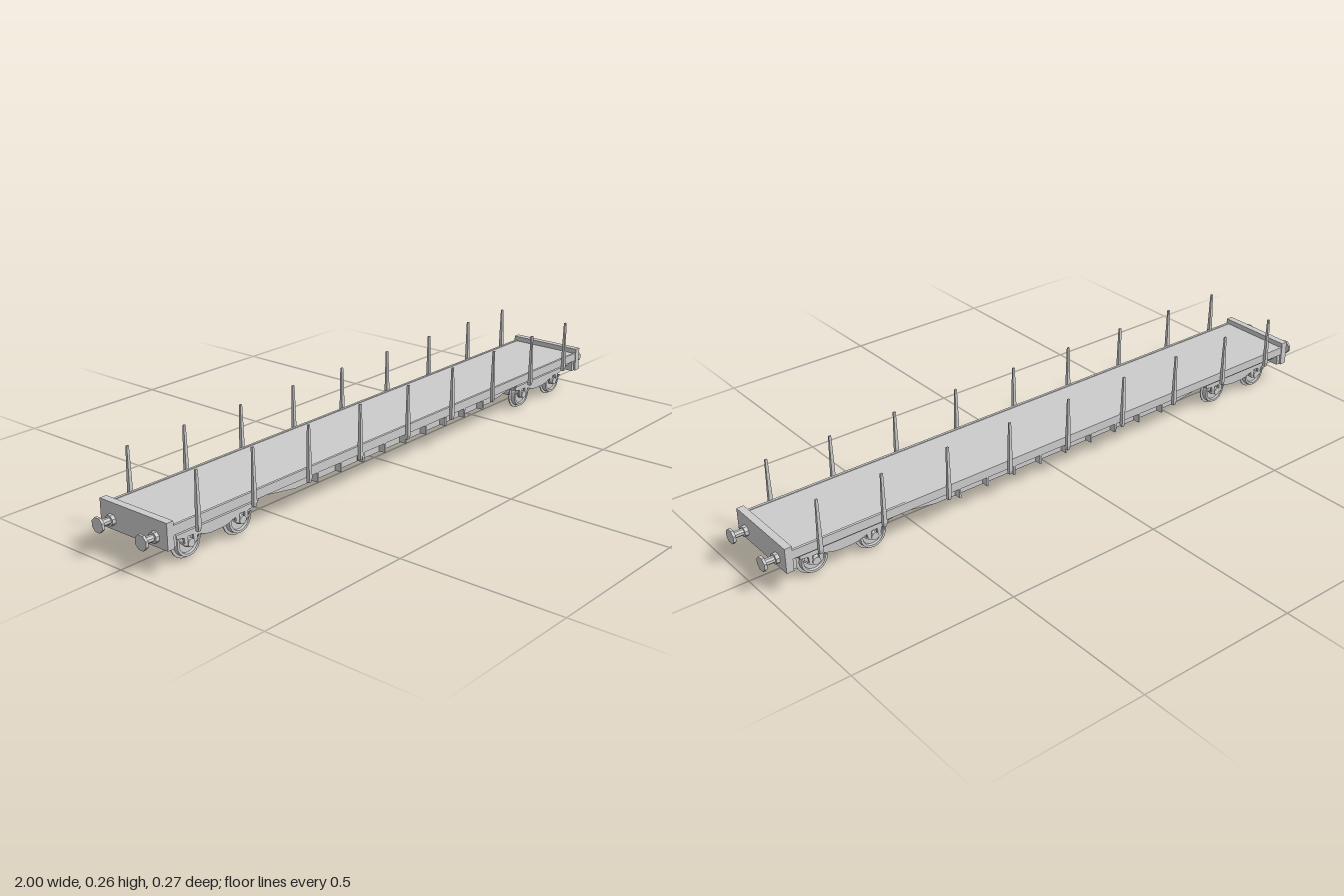
import * as THREE from 'three';

const mat = new THREE.MeshStandardMaterial({ color: 0xcccccc, flatShading: true });
const smooth = new THREE.MeshStandardMaterial({ color: 0xcccccc, side: THREE.DoubleSide });

function add(parent, name, geo, x = 0, y = 0, z = 0, m = mat) {
  const mesh = new THREE.Mesh(geo, m);
  mesh.name = name;
  mesh.position.set(x, y, z);
  parent.add(mesh);
  return mesh;
}

// Box given by its limits
function box(parent, name, x0, x1, y0, y1, z0, z1) {
  return add(parent, name, new THREE.BoxGeometry(x1 - x0, y1 - y0, z1 - z0),
    (x0 + x1) / 2, (y0 + y1) / 2, (z0 + z1) / 2);
}

// Side profile in x/y, extruded between z0 and z1
function plate(parent, name, pts, z0, z1) {
  const shape = new THREE.Shape(pts.map(p => new THREE.Vector2(p[0], p[1])));
  const geo = new THREE.ExtrudeGeometry(shape, { depth: z1 - z0, bevelEnabled: false });
  return add(parent, name, geo, 0, 0, z0);
}

// Tapered stake on the side of the deck
function stake(parent, x, s) {
  const sections = [[0.092, 0.0045, 0.131], [0.105, 0.006, 0.134], [0.26, 0.0035, 0.131]];
  const pos = [], idx = [];
  sections.forEach(([y, w, out], i) => {
    const inner = i === 2 ? 0.1255 : 0.122;
    pos.push(-w, y, inner, -w, y, out, w, y, out, w, y, inner);
    if (i < 2) {
      for (let k = 0; k < 4; k++) {
        const a = i * 4 + k, b = i * 4 + (k + 1) % 4;
        idx.push(a, b, b + 4, a, b + 4, a + 4);
      }
    }
  });
  idx.push(0, 2, 1, 0, 3, 2, 8, 9, 10, 8, 10, 11);
  const geo = new THREE.BufferGeometry();
  geo.setAttribute('position', new THREE.Float32BufferAttribute(pos, 3));
  geo.setIndex(idx);
  geo.computeVertexNormals();
  const m = add(parent, 'stake', geo, x);
  if (s < 0) m.rotation.y = Math.PI;
}

// Two flanged wheels on an axle, along z
function wheelset(parent, x) {
  const g = new THREE.Group();
  g.name = 'wheelset';
  g.position.set(x, 0.05, 0);
  parent.add(g);
  add(g, 'axle', new THREE.CylinderGeometry(0.015, 0.015, 0.15, 14), 0, 0, 0, smooth).rotation.x = Math.PI / 2;
  const profile = [[0.001, 0.068], [0.049, 0.068], [0.049, 0.0715], [0.041, 0.073],
    [0.04, 0.087], [0.033, 0.087], [0.031, 0.08], [0.014, 0.08], [0.012, 0.088], [0.001, 0.088]];
  const geo = new THREE.LatheGeometry(profile.map(p => new THREE.Vector2(p[0], p[1])), 20);
  for (const s of [1, -1]) {
    const m = mat.clone();
    m.side = THREE.DoubleSide;
    add(g, 'wheel', geo, 0, 0, 0, m).rotation.x = s * Math.PI / 2;
  }
}

function bogie(parent, cx) {
  const g = new THREE.Group();
  g.name = 'bogie';
  g.position.x = cx;
  parent.add(g);
  const wx = 0.0925;
  const half = [[0.14, 0.086], [0.14, 0.074], [0.115, 0.07], [0.112, 0.045], [0.104, 0.045],
    [0.102, 0.07], [0.083, 0.07], [0.081, 0.045], [0.073, 0.045], [0.068, 0.065], [0.04, 0.056], [0.02, 0.053]];
  const outline = [...half, ...half.map(p => [-p[0], p[1]]).reverse()];
  wheelset(g, -wx);
  wheelset(g, wx);
  for (const s of [1, -1]) {
    const lo = Math.min(s * 0.088, s * 0.095), hi = Math.max(s * 0.088, s * 0.095);
    plate(g, 'bogieSideFrame', outline, lo, hi);
    for (const x of [-wx, wx]) {
      add(g, 'axleBox', new THREE.CylinderGeometry(0.012, 0.012, 0.014, 10), x, 0.05, s * 0.091).rotation.x = Math.PI / 2;
      // Bowed leaf spring slung under the axle box
      const curve = new THREE.QuadraticBezierCurve3(
        new THREE.Vector3(x - 0.036, 0.064, s * 0.093),
        new THREE.Vector3(x, 0.018, s * 0.093),
        new THREE.Vector3(x + 0.036, 0.064, s * 0.093));
      add(g, 'leafSpring', new THREE.TubeGeometry(curve, 10, 0.003, 5));
    }
  }
  box(g, 'bogieBolster', -0.03, 0.03, 0.062, 0.086, -0.09, 0.09);
  box(g, 'pivot', -0.022, 0.022, 0.06, 0.108, -0.022, 0.022);
  for (const s of [1, -1]) box(g, 'bogieTransom', s * 0.137 - 0.004, s * 0.137 + 0.004, 0.074, 0.086, -0.09, 0.09);
}

function buffer(parent, s, z) {
  const g = new THREE.Group();
  g.name = 'buffer';
  g.position.set(s * 0.95, 0.1, z);
  g.rotation.z = -s * Math.PI / 2;
  parent.add(g);
  const octagon = (r, y0, y1, name) => {
    const geo = new THREE.CylinderGeometry(r, r, y1 - y0, 8);
    geo.rotateY(Math.PI / 8);
    add(g, name, geo, 0, (y0 + y1) / 2, 0);
  };
  octagon(0.016, -0.002, 0.012, 'bufferBase');
  octagon(0.01, 0.01, 0.044, 'bufferShank');
  octagon(0.022, 0.042, 0.05, 'bufferHead');
}

export function createModel() {
  const model = new THREE.Group();
  model.name = 'flatWagon';

  // Deck with side sills
  box(model, 'deck', -0.935, 0.935, 0.112, 0.132, -0.122, 0.122);
  for (const s of [1, -1]) {
    box(model, 'sideSill', -0.935, 0.935, 0.107, 0.134, s * 0.12 - 0.004, s * 0.12 + 0.004);
  }

  // Fish-bellied underframe and its ribs
  plate(model, 'underframe', [[-0.62, 0.113], [-0.62, 0.1], [-0.46, 0.075], [0.46, 0.075], [0.62, 0.1], [0.62, 0.113]], -0.1, 0.1);
  for (let i = -4; i <= 4; i++) {
    for (const s of [1, -1]) {
      box(model, 'rib', i * 0.0975 - 0.003, i * 0.0975 + 0.003, 0.077, 0.113, s * 0.11 - 0.012, s * 0.11 + 0.012);
    }
  }

  for (const s of [1, -1]) {
    // End board, headstock and longitudinal beams
    box(model, 'endBoard', s * 0.94 - 0.011, s * 0.94 + 0.011, 0.072, 0.148, -0.126, 0.126);
    box(model, 'headstock', s * 0.924 - 0.007, s * 0.924 + 0.007, 0.072, 0.113, -0.12, 0.12);
    box(model, 'centreSill', s * 0.765 - 0.16, s * 0.765 + 0.16, 0.088, 0.113, -0.03, 0.03);
    for (const z of [0.1, -0.1]) {
      box(model, 'outerBeam', s * 0.765 - 0.16, s * 0.765 + 0.16, 0.09, 0.113, z - 0.004, z + 0.004);
      buffer(model, s, z * 0.82);
    }
    bogie(model, s * 0.753);
  }

  // Stakes along both sides
  for (const x of [-0.848, -0.648, -0.433, -0.217, 0, 0.217, 0.433, 0.648, 0.848]) {
    for (const s of [1, -1]) stake(model, x, s);
  }
  return model;
}
